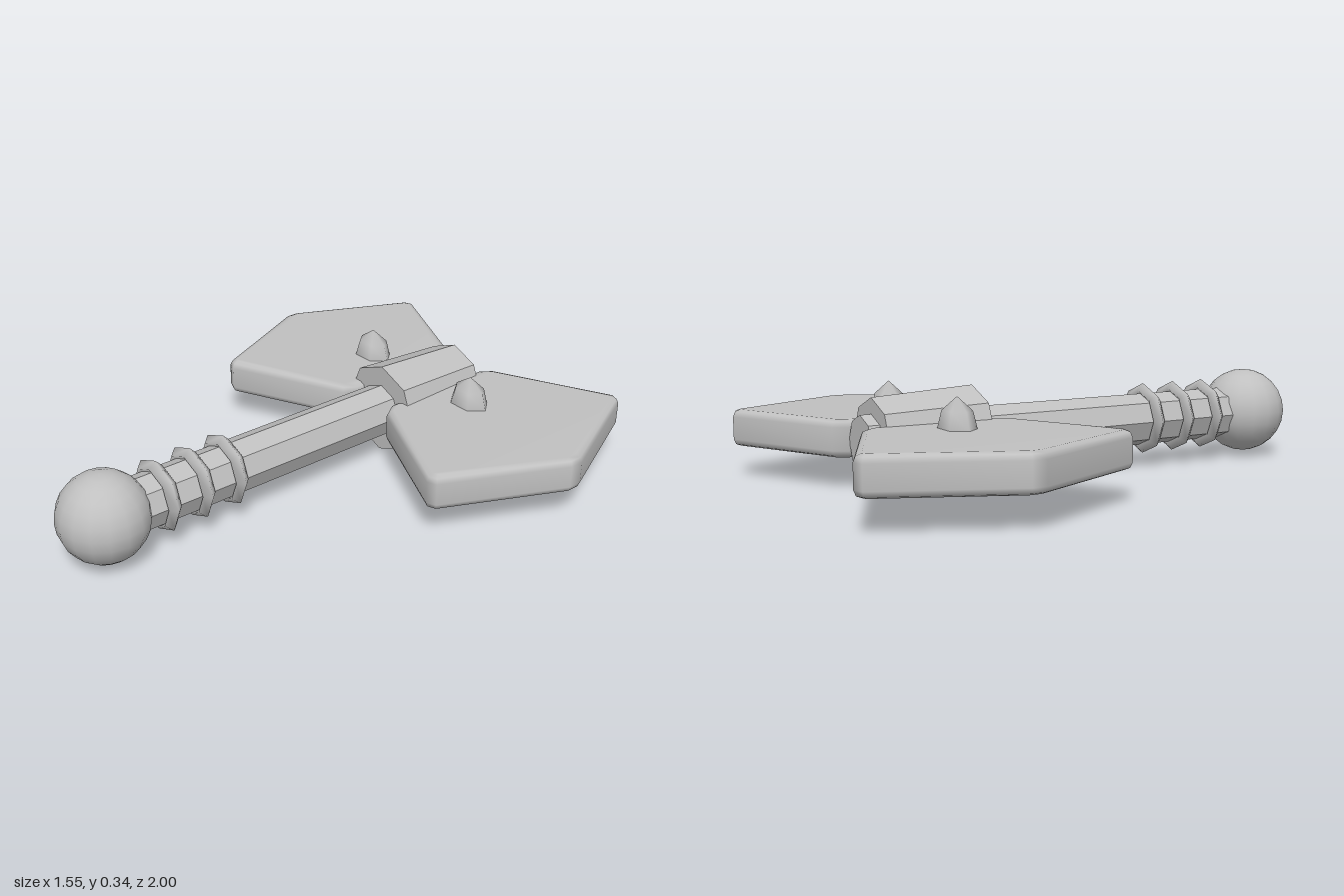
import * as THREE from 'three';
import { mergeVertices } from 'three/addons/utils/BufferGeometryUtils.js';

const AXIS_Y = 0.17; // height of the handle's centre line
const BLADE_Z = -0.53; // middle of the axe head

// Faceted look: every face gets its own normal
function flat(geometry) {
  const g = geometry.toNonIndexed();
  g.computeVertexNormals();
  return g;
}

// Smooth look: shared corners get averaged normals
function smooth(geometry) {
  geometry.deleteAttribute('uv');
  geometry.deleteAttribute('normal');
  const g = mergeVertices(geometry, 1e-4);
  g.computeVertexNormals();
  return g;
}

// Octagonal bar lying along z, from the back end to the front end
function octagonBar(backRadius, frontRadius, backZ, frontZ) {
  const g = new THREE.CylinderGeometry(backRadius, frontRadius, frontZ - backZ, 8);
  g.rotateX(-Math.PI / 2);
  g.translate(0, AXIS_Y, (backZ + frontZ) / 2);
  return flat(g);
}

// Bevelled pentagonal blade on the +x side
function bladeGeometry() {
  const half = [[0.09, 0.225], [0.12, 0.27], [0.54, 0.47], [0.575, 0.457], [0.775, 0.025]];
  const outline = [
    ...half.map(([x, z]) => new THREE.Vector2(x, -z)),
    ...half.slice().reverse().map(([x, z]) => new THREE.Vector2(x, z)),
  ];
  const bevel = 0.025;
  const g = new THREE.ExtrudeGeometry(new THREE.Shape(outline), {
    depth: 0.129 - 2 * bevel,
    bevelThickness: bevel,
    bevelSize: bevel,
    bevelOffset: -bevel,
    bevelSegments: 2,
  });
  g.translate(0, 0, -(0.129 - 2 * bevel) / 2);
  g.rotateX(-Math.PI / 2);
  return smooth(g);
}

// Six-sided domed stud, squeezed front to back
function studGeometry() {
  const profile = [[0.083, 0.04], [0.083, 0.068], [0.065, 0.125], [0, 0.17]];
  const g = new THREE.LatheGeometry(profile.map(([r, y]) => new THREE.Vector2(r, y)), 6);
  g.rotateY(Math.PI / 2);
  g.scale(1, 1, 0.7);
  return smooth(g);
}

export function createModel() {
  const group = new THREE.Group();
  const grey = new THREE.MeshStandardMaterial({ color: 0xc0c0c0 });
  grey.name = 'grey';

  const add = (name, geometry, x = 0, y = 0, z = 0) => {
    const mesh = new THREE.Mesh(geometry, grey);
    mesh.name = name;
    mesh.position.set(x, y, z);
    group.add(mesh);
    return mesh;
  };

  // Shaft, tapered collar and round pommel
  add('handle', octagonBar(0.095, 0.095, -0.75, 0.8));
  add('collar', octagonBar(0.15, 0.17, -0.71, -0.34));
  add('pommel', new THREE.SphereGeometry(0.157, 16, 12), 0, AXIS_Y + 0.003, 0.843);

  // Grip rings
  const ring = smooth(new THREE.TorusGeometry(0.105, 0.025, 4, 8));
  [0.37, 0.505, 0.638].forEach((z, i) => add(`gripRing${i + 1}`, ring, 0, AXIS_Y + 0.003, z));

  // Mirrored blades with a stud on each
  const blade = bladeGeometry();
  const stud = studGeometry();
  for (const [side, s] of [['left', 1], ['right', -1]]) {
    add(`${side}Blade`, blade, 0, AXIS_Y + 0.003, BLADE_Z).rotation.y = s > 0 ? 0 : Math.PI;
    add(`${side}Stud`, stud, s * 0.262, AXIS_Y, BLADE_Z);
  }

  return group;
}
